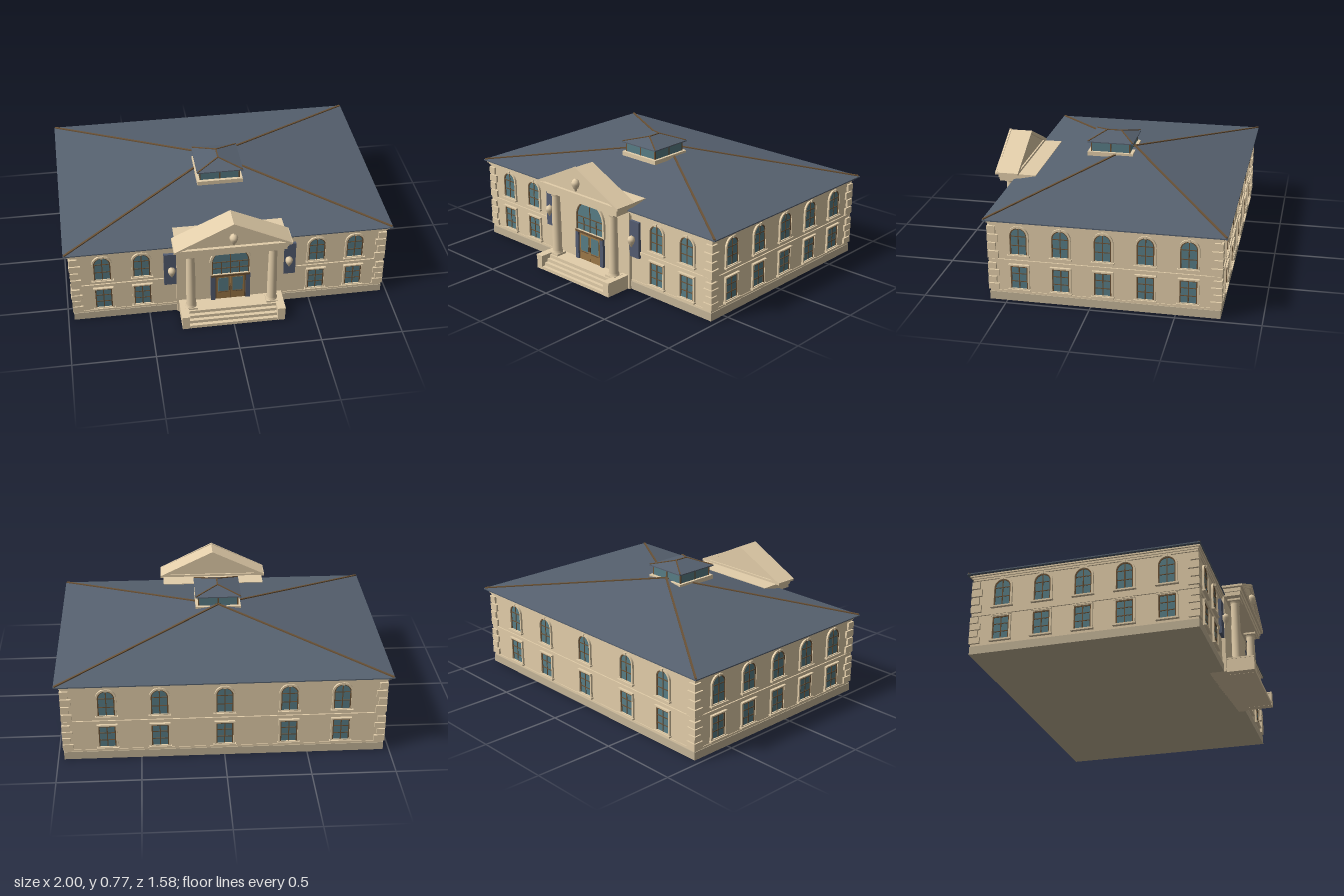
import * as THREE from 'three';

const mat = (name, color) => {
  const m = new THREE.MeshStandardMaterial({ color });
  m.name = name;
  return m;
};

export function createModel() {
  const stone = mat('sandstone', 0xe3ceaa);
  const plinthStone = mat('plinth stone', 0xc4b598);
  const slate = mat('roof slate', 0x56616f);
  const glass = mat('window glass', 0x587d86);
  const trim = mat('dark wood trim', 0x6b5236);
  const wood = mat('door wood', 0x9c7848);
  const blue = mat('blue panel', 0x545d72);

  const model = new THREE.Group();
  model.name = 'civicBuilding';
  const CZ = -0.077; // centre of the main block in z
  const HX = 0.956, HZ = 0.675; // wall half sizes

  const group = (name, parent = model) => {
    const g = new THREE.Group();
    g.name = name;
    parent.add(g);
    return g;
  };
  const add = (parent, name, geo, m, x = 0, y = 0, z = 0) => {
    const mesh = new THREE.Mesh(geo, m);
    mesh.name = name;
    mesh.position.set(x, y, z);
    parent.add(mesh);
    return mesh;
  };
  // Box given by its centre in x and z and by bottom and top heights
  const box = (parent, name, m, w, y0, y1, d, x = 0, z = 0) =>
    add(parent, name, new THREE.BoxGeometry(w, y1 - y0, d), m, x, (y0 + y1) / 2, z);
  // Square bar between two points, with its top kept level
  const bar = (parent, name, m, a, b, t) => {
    const dir = b.clone().sub(a).normalize();
    const side = new THREE.Vector3(0, 1, 0).cross(dir).normalize();
    const mesh = add(parent, name, new THREE.BoxGeometry(t, t, a.distanceTo(b)), m);
    mesh.position.lerpVectors(a, b, 0.5);
    mesh.quaternion.setFromRotationMatrix(
      new THREE.Matrix4().makeBasis(side, dir.clone().cross(side), dir));
  };
  const extrude = (shape, depth) =>
    new THREE.ExtrudeGeometry(shape, { depth, bevelEnabled: false, curveSegments: 16 });

  // Opening outline, with a round or flat head
  const outline = (hw, y0, y1, arched, Type = THREE.Shape) => {
    const s = new Type();
    s.moveTo(-hw, y0);
    s.lineTo(hw, y0);
    if (arched) {
      s.lineTo(hw, y1 - hw);
      s.absarc(0, y1 - hw, hw, 0, Math.PI, false);
    } else {
      s.lineTo(hw, y1);
      s.lineTo(-hw, y1);
    }
    s.closePath();
    return s;
  };
  const surround = (hw, y0, y1, t, arched, depth) => {
    const s = outline(hw + t, y0, y1 + t, arched);
    s.holes.push(outline(hw, y0 + t * 0.4, y1, arched, THREE.Path));
    return extrude(s, depth);
  };

  // Hipped roof with its ridge along z
  const hipGeo = (w, d, h, r) => {
    const A = [-w, 0, d], B = [w, 0, d], C = [w, 0, -d], D = [-w, 0, -d], P = [0, h, r], Q = [0, h, -r];
    const tris = r > 0 ? [A, B, P, B, C, Q, B, Q, P, C, D, Q, D, A, P, D, P, Q]
      : [A, B, P, B, C, P, C, D, P, D, A, P];
    const g = new THREE.BufferGeometry();
    g.setAttribute('position', new THREE.Float32BufferAttribute(tris.flat(), 3));
    g.computeVertexNormals();
    return g;
  };
  const hipRoof = (name, w, d, y, h, r, cz, t) => {
    const g = group(name);
    g.position.set(0, y, cz);
    add(g, 'roofSlopes', hipGeo(w, d, h, r), slate);
    box(g, 'eaves', slate, w * 2, -0.007, 0, d * 2);
    for (const sx of [-1, 1]) for (const sz of [-1, 1])
      bar(g, 'hipRidge', trim, new THREE.Vector3(sx * (w - t / 2), 0.001, sz * (d - t / 2)),
        new THREE.Vector3(0, h, sz * r), t);
    if (r) bar(g, 'topRidge', trim, new THREE.Vector3(0, h, -r), new THREE.Vector3(0, h, r), t);
  };

  // Main block, courses and cornice
  const courses = [
    ['plinth', plinthStone, 0, 0.05, 0.008], ['plinthCap', stone, 0.05, 0.062, 0.004],
    ['walls', stone, 0.062, 0.5, 0], ['stringCourse', stone, 0.243, 0.262, 0.008],
    ['frieze', stone, 0.477, 0.488, 0.008], ['lowerCornice', stone, 0.488, 0.5, 0.014],
    ['upperCornice', stone, 0.5, 0.51, 0.024]];
  for (const [name, m, y0, y1, out] of courses)
    box(model, name, m, (HX + out) * 2, y0, y1, (HZ + out) * 2, 0, CZ);

  // Alternating corner stones
  const quoins = group('quoins');
  for (const sx of [-1, 1]) for (const sz of [-1, 1]) for (let i = 0; i < 8; i++) {
    const L = i % 2 ? 0.05 : 0.065;
    const y = (i < 4 ? 0.066 : 0.266) + (i % 4) * (i < 4 ? 0.044 : 0.0525);
    box(quoins, 'quoin', stone, L, y, y + (i < 4 ? 0.038 : 0.045), L,
      sx * (HX + 0.013 - L / 2), CZ + sz * (HZ + 0.013 - L / 2));
  }

  hipRoof('mainRoof', 1, 0.709, 0.516, 0.157, 0, -0.081, 0.012);

  // Rooftop lantern
  const LZ = 0.05;
  const cupola = group('cupola');
  box(cupola, 'cupolaBase', stone, 0.285, 0.638, 0.665, 0.29, 0, LZ);
  box(cupola, 'cupolaGlass', glass, 0.25, 0.665, 0.73, 0.25, 0, LZ);
  for (const a of [-1, 0, 1]) for (const b of [-1, 0, 1])
    if (a || b) box(cupola, 'cupolaPost', trim, 0.008, 0.665, 0.73, 0.008, a * 0.123, LZ + b * 0.123);
  hipRoof('cupolaRoof', 0.144, 0.146, 0.732, 0.038, 0.045, LZ, 0.008);

  // Windows
  const windowAt = (name, x, z, turn, arched) => {
    const g = group(name);
    g.position.set(x, 0, z);
    g.rotation.y = turn;
    const hw = 0.051, y0 = arched ? 0.295 : 0.078, y1 = arched ? 0.466 : 0.224;
    add(g, 'pane', extrude(outline(hw, y0, y1, arched), 0.003), glass);
    add(g, 'windowSurround', surround(hw, y0, y1, 0.011, arched, 0.012), stone);
    add(g, 'windowFrame', surround(hw - 0.007, y0, y1 - 0.007, 0.007, arched, 0.007), trim);
    box(g, 'mullion', trim, 0.006, y0, y1, 0.006, 0, 0.003);
    for (const y of arched ? [0.352, 0.41] : [0.125, 0.174])
      box(g, 'glazingBar', trim, hw * 2, y, y + 0.005, 0.006, 0, 0.003);
    box(g, 'sill', stone, 0.134, y0 - 0.01, y0, 0.024, 0, 0.008);
    if (arched) box(g, 'keystone', stone, 0.016, y1 - 0.002, y1 + 0.014, 0.018, 0, 0.008);
    else box(g, 'lintel', stone, 0.124, y1 + 0.004, y1 + 0.012, 0.018, 0, 0.008);
  };
  for (const arched of [false, true]) {
    const n = arched ? 'upperWindow' : 'lowerWindow';
    for (const x of [-0.775, -0.538, 0.538, 0.775]) windowAt(n, x, CZ + HZ, 0, arched);
    for (const x of [-0.7, -0.385, 0, 0.385, 0.7]) windowAt(n, x, CZ - HZ, Math.PI, arched);
    for (let i = -2; i <= 2; i++) for (const s of [-1, 1])
      windowAt(n, s * HX, CZ + 0.003 + i * 0.249, s * Math.PI / 2, arched);
  }

  // Entrance bay and steps
  const FZ = 0.62;
  const portico = group('portico');
  box(portico, 'entranceBay', stone, 0.66, 0, 0.505, 0.1, 0, FZ - 0.05);
  box(portico, 'landing', stone, 0.54, 0, 0.08, 0.14, 0, 0.65);
  for (let i = 0; i < 3; i++)
    box(portico, 'step', stone, 0.54, 0, 0.06 - i * 0.02, 0.022 * (i + 1) + 0.02, 0, 0.71 + 0.011 * (i + 1));
  for (const s of [-1, 1]) {
    box(portico, 'stairCheek', stone, 0.045, 0, 0.09, 0.185, s * 0.294, 0.695);
    box(portico, 'cheekCap', stone, 0.05, 0.082, 0.091, 0.187, s * 0.294, 0.695);
    box(portico, 'bluePanel', blue, 0.075, 0.22, 0.45, 0.02, s * 0.367, 0.606);
  }

  // Columns
  const shaft = [[0.034, 0.092], [0.034, 0.1], [0.029, 0.108], [0.029, 0.25], [0.025, 0.468],
    [0.029, 0.472], [0.025, 0.478], [0.034, 0.49]].map((p) => new THREE.Vector2(...p));
  for (const s of [-1, 1]) {
    const c = group('column', portico);
    c.position.set(s * 0.25, 0, 0.673);
    box(c, 'columnPlinth', stone, 0.074, 0.079, 0.093, 0.074);
    add(c, 'columnShaft', new THREE.LatheGeometry(shaft, 24), stone);
    box(c, 'abacus', stone, 0.078, 0.488, 0.502, 0.078);
  }

  // Entablature and gable
  box(portico, 'architrave', stone, 0.655, 0.5, 0.525, 0.235, 0, 0.603);
  box(portico, 'entablature', stone, 0.67, 0.525, 0.552, 0.242, 0, 0.605);
  box(portico, 'gableCornice', stone, 0.71, 0.548, 0.562, 0.146, 0, 0.667);
  const gable = (hw, y0, y1) =>
    new THREE.Shape([[-hw, y0], [hw, y0], [0, y1]].map((p) => new THREE.Vector2(...p)));
  add(portico, 'gableBlock', extrude(gable(0.345, 0.56, 0.722), 0.119), stone, 0, 0, 0.604);
  const rake = (apex, inset) => {
    const s = gable(0.355, 0.56, apex);
    s.holes.push(gable(0.355 - inset * 2.8, 0.566, apex - inset));
    return s;
  };
  add(portico, 'rakingCornice', extrude(rake(0.73, 0.022), 0.14), stone, 0, 0, 0.594);
  add(portico, 'rakingMoulding', extrude(rake(0.736, 0.014), 0.012), stone, 0, 0, 0.73);

  // Urn ornaments on the gable and panels
  const urn = [[0, -0.045], [0.006, -0.04], [0.008, -0.03], [0.016, -0.022], [0.024, 0], [0.026, 0.014],
    [0.021, 0.018], [0.021, 0.025], [0.012, 0.033], [0.005, 0.036], [0, 0.045]].map((p) => new THREE.Vector2(...p));
  for (const [x, y, z, k] of [[0, 0.622, 0.735, 1], [-0.36, 0.33, 0.633, 0.9], [0.36, 0.33, 0.633, 0.9]]) {
    const u = add(portico, 'urnOrnament', new THREE.LatheGeometry(urn, 20), stone, x, y, z);
    u.scale.setScalar(k);
  }

  // Fanlight above the doors
  const entry = group('entrance', portico);
  entry.position.z = FZ;
  add(entry, 'fanlight', extrude(outline(0.115, 0.27, 0.477, true), 0.003), glass);
  add(entry, 'fanlightSurround', surround(0.115, 0.27, 0.477, 0.014, true, 0.014), stone);
  add(entry, 'fanlightFrame', surround(0.109, 0.27, 0.471, 0.006, true, 0.008), trim);
  for (const x of [-0.055, 0, 0.055])
    box(entry, 'fanlightMullion', trim, 0.005, 0.27, x ? 0.36 : 0.472, 0.007, x, 0.0035);
  for (const y of [0.315, 0.362]) box(entry, 'fanlightBar', trim, 0.225, y, y + 0.005, 0.007, 0, 0.0035);

  // Double doors
  box(entry, 'doorHead', trim, 0.24, 0.26, 0.273, 0.02, 0, 0.008);
  box(entry, 'doorFrame', trim, 0.19, 0.08, 0.262, 0.008, 0, 0.004);
  for (const s of [-1, 1]) {
    box(entry, 'doorJamb', blue, 0.026, 0.08, 0.268, 0.018, s * 0.108, 0.008);
    box(entry, 'doorLeaf', wood, 0.085, 0.082, 0.255, 0.008, s * 0.044, 0.007);
    box(entry, 'doorGlass', glass, 0.064, 0.142, 0.245, 0.004, s * 0.044, 0.0105);
    box(entry, 'doorRail', trim, 0.064, 0.132, 0.137, 0.004, s * 0.044, 0.0105);
    box(entry, 'doorHandle', trim, 0.004, 0.15, 0.18, 0.01, s * 0.007, 0.013);
  }
  return model;
}
